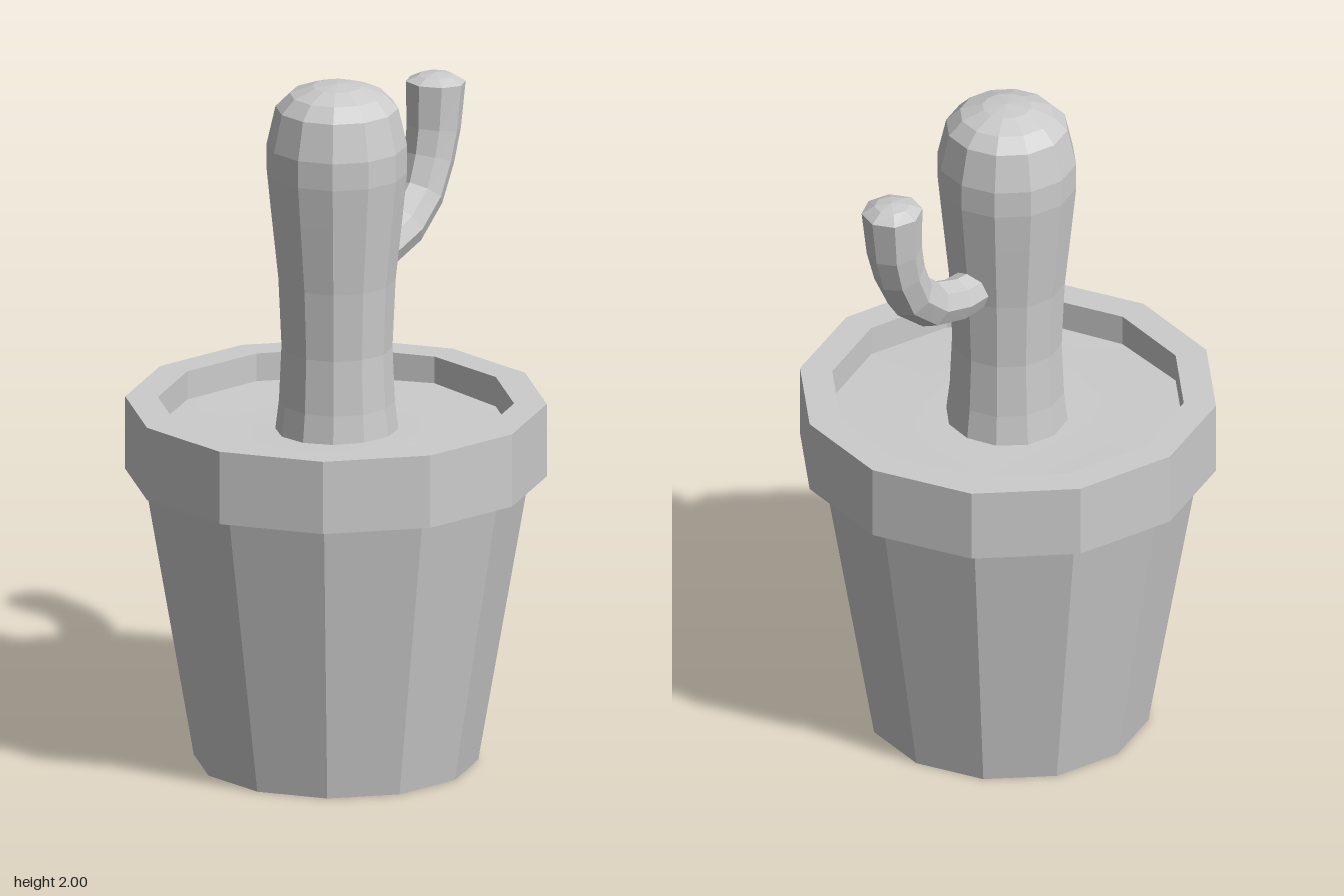
import * as THREE from 'three';

const facetedGrey = new THREE.MeshStandardMaterial({ color: 0xcccccc, flatShading: true });
const smoothGrey = new THREE.MeshStandardMaterial({ color: 0xcccccc });

function named(name, geometry, material = facetedGrey) {
  const mesh = new THREE.Mesh(geometry, material);
  mesh.name = name;
  return mesh;
}

// Twelve-sided solid of revolution from [radius, height] pairs, bottom to top
function turned(profile) {
  return new THREE.LatheGeometry(profile.map(([r, y]) => new THREE.Vector2(r, y)), 12);
}

// Tapered tube through rings of [z, y, radius], lying in the plane x = 0
function taperedTube(rings, sides) {
  const positions = [];
  const index = [];
  rings.forEach(([z, y, r], i) => {
    const before = rings[Math.max(i - 1, 0)];
    const after = rings[Math.min(i + 1, rings.length - 1)];
    const dir = new THREE.Vector2(after[0] - before[0], after[1] - before[1]).normalize();
    for (let j = 0; j < sides; j++) {
      const a = (j / sides) * Math.PI * 2;
      const s = r * Math.sin(a);
      positions.push(r * Math.cos(a), y + s * dir.x, z - s * dir.y);
      if (i === rings.length - 1) continue;
      const p = i * sides + j;
      const q = i * sides + ((j + 1) % sides);
      index.push(p, q, q + sides, p, q + sides, p + sides);
    }
  });
  const geometry = new THREE.BufferGeometry();
  geometry.setAttribute('position', new THREE.Float32BufferAttribute(positions, 3));
  geometry.setIndex(index);
  geometry.computeVertexNormals();
  return geometry;
}

// Gently uneven disc of earth that meets the inner wall of the pot
function soilGeometry() {
  const geometry = new THREE.RingGeometry(0.08, 0.507, 12, 5).rotateX(-Math.PI / 2);
  const p = geometry.attributes.position;
  for (let i = 0; i < p.count; i++) {
    const x = p.getX(i);
    const z = p.getZ(i);
    p.setY(i, 0.975 + 0.006 * Math.sin(7 * x + 3 * z) * Math.cos(6 * z - 2 * x));
  }
  geometry.computeVertexNormals();
  return geometry;
}

export function createModel() {
  const model = new THREE.Group();
  model.name = 'pottedCactus';

  // Tapered pot with an overhanging rim and hollow top
  model.add(named('pot', turned([
    [0, 0], [0.405, 0], [0.55, 0.845], [0.6, 0.845],
    [0.6, 1.06], [0.507, 1.06], [0.507, 0.95],
  ])));

  model.add(named('soil', soilGeometry(), smoothGrey));

  // Stem: flared foot, narrow waist, wide shoulder and domed top
  const stem = named('stem', turned([
    [0.178, 0.95], [0.165, 1.06], [0.158, 1.22], [0.167, 1.42], [0.188, 1.62],
    [0.2, 1.74], [0.2, 1.82], [0.175, 1.93], [0.135, 1.97], [0.07, 1.993], [0, 2],
  ]));
  stem.position.z = -0.005;
  model.add(stem);

  // Arm leaving the back of the stem and bending upward, with a low dome on its tip
  model.add(named('arm', taperedTube([
    [-0.12, 1.455, 0.06], [-0.235, 1.458, 0.063], [-0.344, 1.492, 0.067],
    [-0.434, 1.566, 0.07], [-0.48, 1.66, 0.074], [-0.503, 1.746, 0.079],
    [-0.513, 1.878, 0.087], [-0.513, 1.897, 0.05], [-0.513, 1.905, 0],
  ], 8)));

  return model;
}
